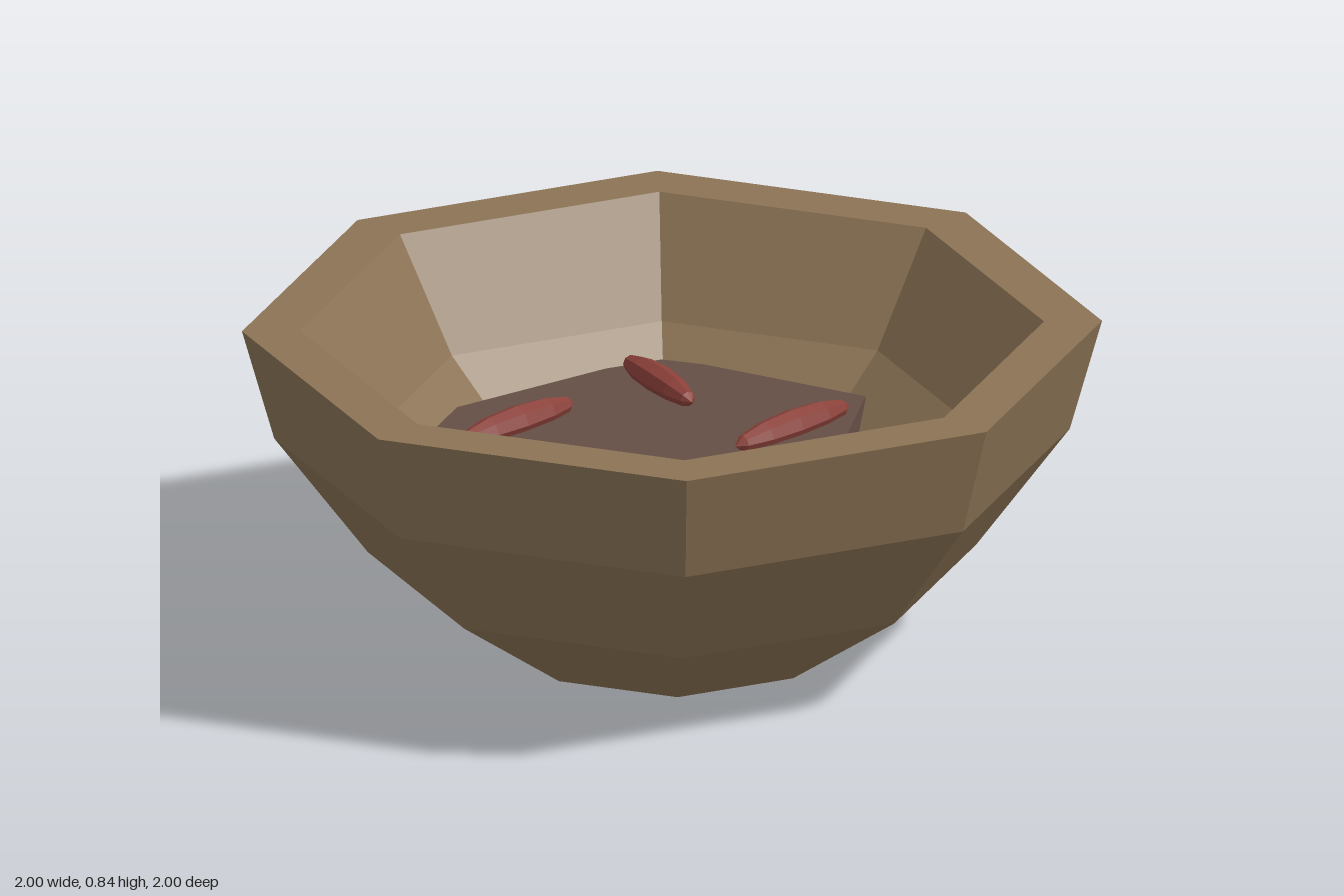
import * as THREE from 'three';

const material = (color) => new THREE.MeshStandardMaterial({ color, flatShading: true });

export function createModel() {
  const model = new THREE.Group();
  const add = (name, geometry, mat) => {
    const mesh = new THREE.Mesh(geometry, mat);
    mesh.name = name;
    model.add(mesh);
    return mesh;
  };

  // Octagonal bowl: [distance from axis to flat side, height], outside up then inside down
  const profile = [
    [0, 0], [0.385, 0], [0.707, 0.24], [0.925, 0.55], [1, 0.84],
    [0.865, 0.84], [0.7, 0.56], [0.4, 0.28], [0, 0.26],
  ].map(([a, y]) => new THREE.Vector2(a / Math.cos(Math.PI / 8), y));
  add('bowl', new THREE.LatheGeometry(profile, 8, Math.PI / 8), material(0x8b7355));

  // Stew: irregular flat slab with a notch on one side, outline as [x, z]
  const outline = [
    [0.31, -0.56], [0.41, -0.03], [0.63, 0.18], [0.63, 0.26], [0.34, 0.55], [-0.2, 0.63],
    [-0.27, 0.63], [-0.63, 0.26], [-0.63, -0.12], [-0.37, -0.51], [-0.26, -0.62], [-0.15, -0.625],
  ].map(([x, z]) => new THREE.Vector2(x, z));
  const slab = new THREE.ExtrudeGeometry(new THREE.Shape(outline), { depth: 0.2, bevelEnabled: false });
  slab.rotateX(Math.PI / 2);
  add('stew', slab, material(0x654e45)).position.y = 0.49;

  // Beans: slim spindles given by their two ends [x1, z1, x2, z2, y]
  const beanGeometry = new THREE.SphereGeometry(1, 8, 6).rotateX(Math.PI / 2);
  const beanMaterial = material(0x8b4039);
  [
    [-0.33, -0.55, -0.07, -0.33, 0.505],
    [0.305, -0.455, 0.14, -0.08, 0.505],
    [-0.35, -0.23, -0.52, 0.13, 0.505],
    [-0.17, 0.125, 0.11, 0.39, 0.505],
    [-0.33, 0.335, -0.17, 0.66, 0.52],
    [0.32, -0.26, 0.475, 0.06, 0.43],
  ].forEach(([x1, z1, x2, z2, y]) => {
    const bean = add('bean', beanGeometry, beanMaterial);
    bean.position.set((x1 + x2) / 2, y, (z1 + z2) / 2);
    bean.rotation.y = Math.atan2(x2 - x1, z2 - z1);
    bean.scale.set(0.042, 0.042, Math.hypot(x2 - x1, z2 - z1) / 2);
  });

  return model;
}
